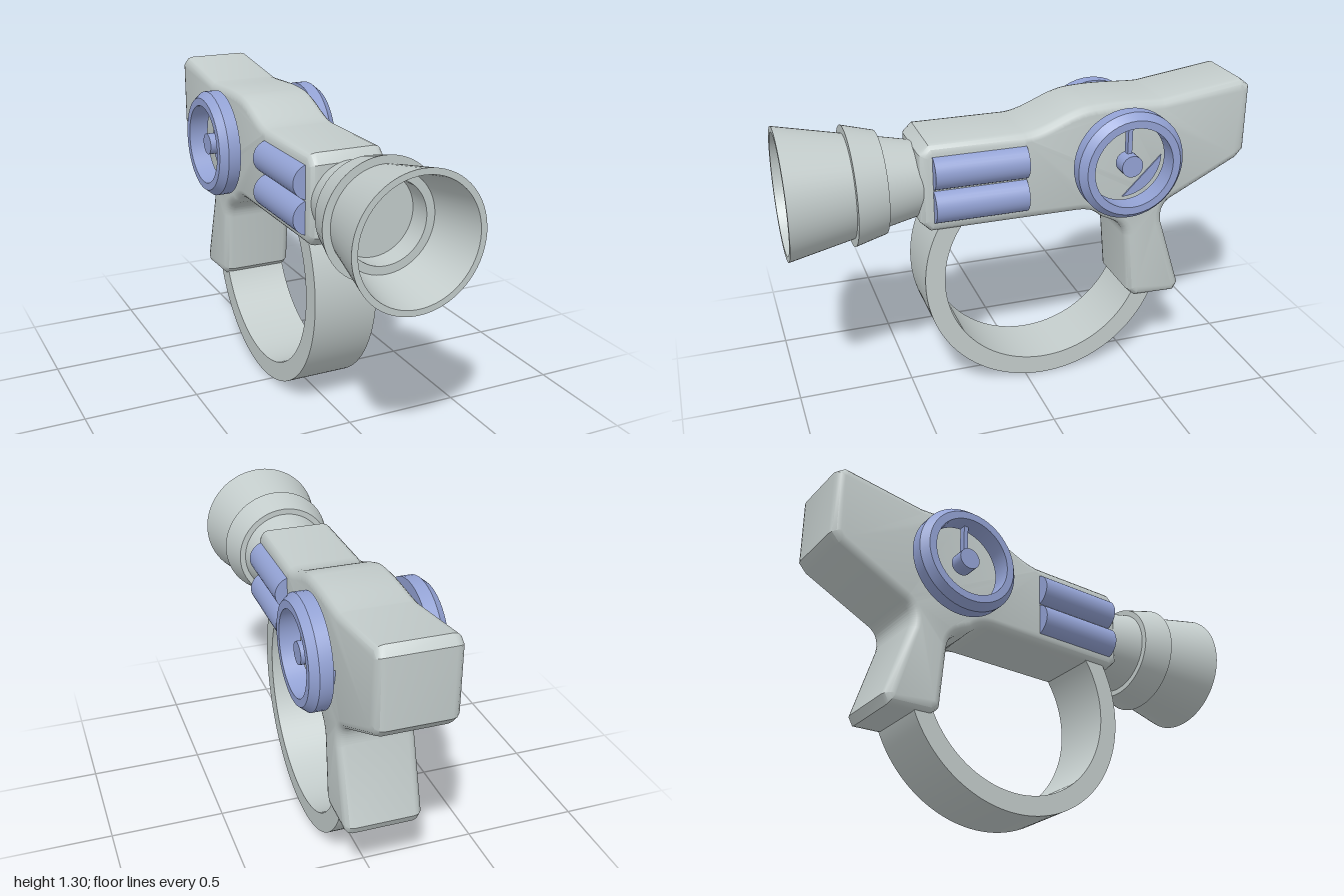
import * as THREE from 'three';
import { toCreasedNormals } from 'three/addons/utils/BufferGeometryUtils.js';

const gray = new THREE.MeshStandardMaterial({ color: 0xc3cccb });
gray.name = 'paleGray';
const blue = new THREE.MeshStandardMaterial({ color: 0x93a2d4 });
blue.name = 'periwinkleBlue';

function add(parent, name, geometry, material) {
  const mesh = new THREE.Mesh(geometry, material);
  mesh.name = name;
  parent.add(mesh);
  return mesh;
}

// Extrudes a side outline drawn in (z, y) across x, centred on x = 0
function sideExtrude(shape, width, bevel = 0) {
  const depth = width - 2 * bevel;
  const geo = new THREE.ExtrudeGeometry(shape, {
    depth, curveSegments: 40, bevelEnabled: bevel > 0, bevelSize: bevel,
    bevelThickness: bevel, bevelOffset: -bevel, bevelSegments: 3,
  });
  geo.translate(0, 0, -depth / 2);
  geo.rotateY(-Math.PI / 2);
  return toCreasedNormals(geo, 0.6);
}

function lathe(profile, segments = 48) {
  const points = profile.map(([r, h]) => new THREE.Vector2(r, h));
  return toCreasedNormals(new THREE.LatheGeometry(points, segments), 0.4);
}

// Body and grip share one outline
function bodyShape() {
  const s = new THREE.Shape();
  s.moveTo(0.46, 0.83);
  s.lineTo(0.46, 1.13);
  s.lineTo(0.42, 1.17);
  s.lineTo(0.02, 1.17);
  s.bezierCurveTo(-0.09, 1.175, -0.17, 1.255, -0.29, 1.257);
  s.bezierCurveTo(-0.42, 1.265, -0.5, 1.25, -0.6, 1.25);
  s.lineTo(-0.96, 1.3);
  s.lineTo(-1, 1.27);
  s.lineTo(-1, 0.98);
  s.lineTo(-0.965, 0.94);
  s.lineTo(-0.66, 0.785);
  s.quadraticCurveTo(-0.61, 0.755, -0.625, 0.68);
  s.lineTo(-0.727, 0.36);
  s.lineTo(-0.705, 0.32);
  s.lineTo(-0.51, 0.327);
  s.lineTo(-0.475, 0.36);
  s.lineTo(-0.45, 0.63);
  s.bezierCurveTo(-0.44, 0.72, -0.36, 0.72, -0.33, 0.75);
  s.quadraticCurveTo(-0.29, 0.79, -0.22, 0.79);
  s.lineTo(0.42, 0.79);
  s.closePath();
  return s;
}

// Broad loop running from under the body to the foot of the grip
function loopShape() {
  const a = THREE.MathUtils.degToRad(35), b = THREE.MathUtils.degToRad(-160);
  const s = new THREE.Shape();
  s.absarc(-0.09, 0.54, 0.54, a, b, true);
  s.absarc(-0.09, 0.54, 0.455, b, a, false);
  s.closePath();
  return s;
}

export function createModel() {
  const model = new THREE.Group();
  model.name = 'toyBlaster';

  add(model, 'bodyAndGrip', sideExtrude(bodyShape(), 0.33, 0.037), gray);
  add(model, 'handLoop', sideExtrude(loopShape(), 0.28), gray);

  // Flared barrel with collar and recessed mouth
  const barrel = lathe([
    [0, 0.44], [0.157, 0.44], [0.19, 0.595], [0.215, 0.595], [0.25, 0.727],
    [0.217, 0.727], [0.275, 1], [0.25, 1], [0.205, 0.76], [0.17, 0.76],
    [0.17, 0.66], [0, 0.66],
  ], 64);
  barrel.rotateX(Math.PI / 2);
  add(model, 'barrel', barrel, gray).position.y = 0.975;

  for (const side of [1, -1]) {
    const prefix = side > 0 ? 'left' : 'right';

    // Pair of canisters set into the flank
    for (const y of [0.904, 1.051]) {
      const can = new THREE.CylinderGeometry(0.0735, 0.0735, 0.395, 32);
      can.rotateX(Math.PI / 2);
      add(model, prefix + 'Canister', can, blue).position.set(side * 0.145, y, 0.21);
    }

    // Open wheel with hub, single spoke and quarter panel
    const wheel = new THREE.Group();
    wheel.name = prefix + 'Wheel';
    wheel.position.set(0, 1.01, -0.42);
    model.add(wheel);

    const rim = lathe([
      [0.175, 0.192], [0.235, 0.192], [0.235, 0.247], [0.208, 0.28],
      [0.175, 0.28], [0.175, 0.192],
    ]);
    rim.rotateZ(-side * Math.PI / 2);
    add(wheel, 'rim', rim, blue);

    const hub = new THREE.CylinderGeometry(0.047, 0.047, 0.068, 24);
    hub.rotateZ(Math.PI / 2);
    add(wheel, 'hub', hub, blue).position.x = side * 0.226;

    const spoke = add(wheel, 'spoke', new THREE.BoxGeometry(0.03, 0.16, 0.02), blue);
    spoke.position.set(side * 0.21, 0.105, 0);

    const quarter = new THREE.Shape();
    quarter.moveTo(0, 0);
    quarter.absarc(0, 0, 0.172, Math.PI, Math.PI * 1.5, false);
    quarter.closePath();
    add(wheel, 'quarterPanel', sideExtrude(quarter, 0.008), blue).position.x = side * 0.167;
  }

  return model;
}
